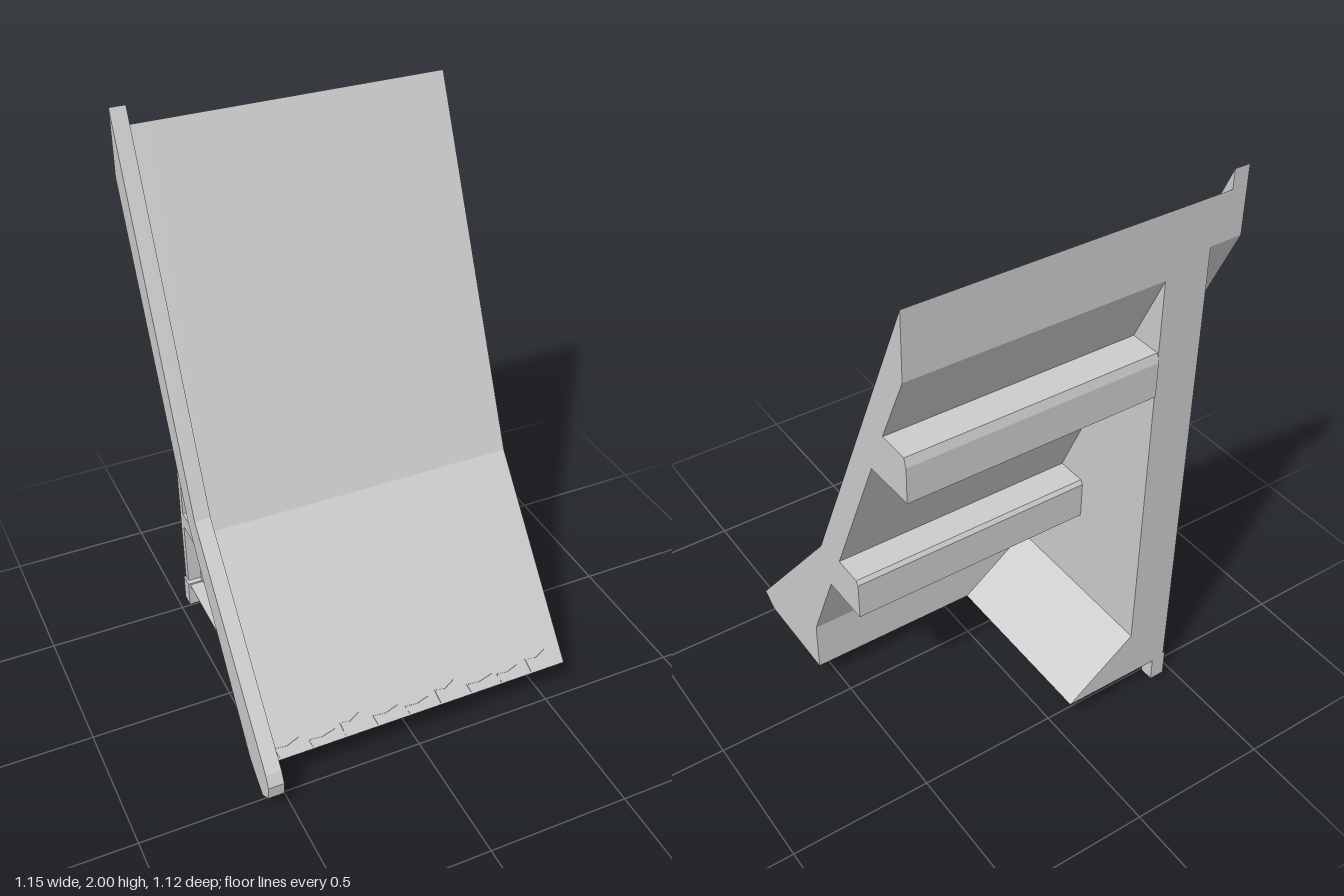
import * as THREE from 'three';

const material = new THREE.MeshStandardMaterial({ color: 0xcccccc, flatShading: true, side: THREE.DoubleSide });
const BACK = -0.555;

export function createModel() {
  const group = new THREE.Group();

  const add = (name, geometry) => {
    const mesh = new THREE.Mesh(geometry, material);
    mesh.name = name;
    group.add(mesh);
    return mesh;
  };
  const outline = pts => pts.map(([z, y]) => new THREE.Vector2(-z, y));

  // Extrudes a side profile of [z, y] points between two x positions
  const slab = (name, pts, x0, x1, holes = []) => {
    const shape = new THREE.Shape(outline(pts));
    holes.forEach(h => shape.holes.push(new THREE.Path(outline(h))));
    const geometry = new THREE.ExtrudeGeometry(shape, { depth: x1 - x0, bevelEnabled: false });
    geometry.rotateY(Math.PI / 2).translate(x0, 0, 0);
    return add(name, geometry);
  };

  // Sloped front shared by the panel, wall and rail, from top to bottom
  const front = [[BACK, 1.935], [-0.01, 0.73], [0.48, 0.13], [0.42, 0.09]];

  // Bent front panel with two cross beams on its back
  slab('slopedPanel', [
    ...front,
    [0.08, 0.09], [0.08, 0.28], [-0.06, 0.6], [-0.245, 0.605], [-0.245, 0.74], [-0.235, 0.755], [-0.13, 0.755],
    [-0.37, 1.3], [-0.56, 1.305], [-0.56, 1.43], [-0.55, 1.46], [-0.44, 1.46], [BACK, 1.71],
  ], -0.3, 0.575);

  // Full-depth side wall
  const wall = [...front, [BACK, 0.09]];
  slab('sideWall', wall, -0.41, -0.3);

  // Outer frame of the wall: post, rim and two braces around recessed fields
  const rimZ = y => (y > 0.73
    ? THREE.MathUtils.mapLinear(y, 0.73, 1.77, -0.08, BACK)
    : THREE.MathUtils.mapLinear(y, 0.09, 0.73, 0.4, -0.08));
  const field = (y0, y1) => {
    const pts = [[-0.525, y0], [rimZ(y0), y0]];
    if (y0 < 0.73 && y1 > 0.73) pts.push([-0.08, 0.73]);
    return [...pts, [rimZ(y1), y1], [-0.525, y1]];
  };
  slab('sideFrame', wall, -0.46, -0.41, [field(0.094, 0.36), field(0.42, 1.12), field(1.18, 1.67)]);

  // Raised rail following the slope with a blunt foot, and its root behind the panel line
  const railBack = [[0.4, 0.09], [-0.08, 0.73], [BACK, 1.77]];
  slab('sideRail', [
    [BACK, 2], [-0.01, 0.79], [0.54, 0.15], [0.56, 0.11], [0.555, 0.06], [0.5, 0.02], ...railBack,
  ], -0.575, -0.52);
  slab('railRoot', [...front, ...railBack], -0.52, -0.46);

  // Sloped gusset at the foot of the wall
  const gusset = new THREE.Shape([[-0.3, 0.09], [-0.05, 0.09], [-0.3, 0.28]].map(p => new THREE.Vector2(...p)));
  add('gusset', new THREE.ExtrudeGeometry(gusset, { depth: 0.08 - BACK, bevelEnabled: false }).translate(0, 0, BACK));

  // Short leg under the rear post
  add('rearLeg', new THREE.BoxGeometry(0.055, 0.1, 0.05).translate(-0.44, 0.05, BACK + 0.025));

  // Chipped flakes along the lower lip
  const tilt = Math.atan2(0.49, 0.6);
  for (let i = 0; i < 9; i++) {
    const w = 0.11 + 0.02 * Math.sin(i * 2.3);
    const h = 0.05 + 0.015 * Math.sin(i * 4.1);
    const chip = new THREE.Shape([
      [0, 0.004], [w * 0.6, 0], [w, h * 0.35], [w * 0.7, h], [w * 0.3, h * 0.7], [-0.01, h * 0.8],
    ].map(p => new THREE.Vector2(...p)));
    const mesh = add('lipChip', new THREE.ExtrudeGeometry(chip, { depth: 0.004, bevelEnabled: false }));
    mesh.rotation.x = -tilt;
    mesh.position.set(-0.5 + i * 0.118, 0.132, 0.479);
  }

  return group;
}
